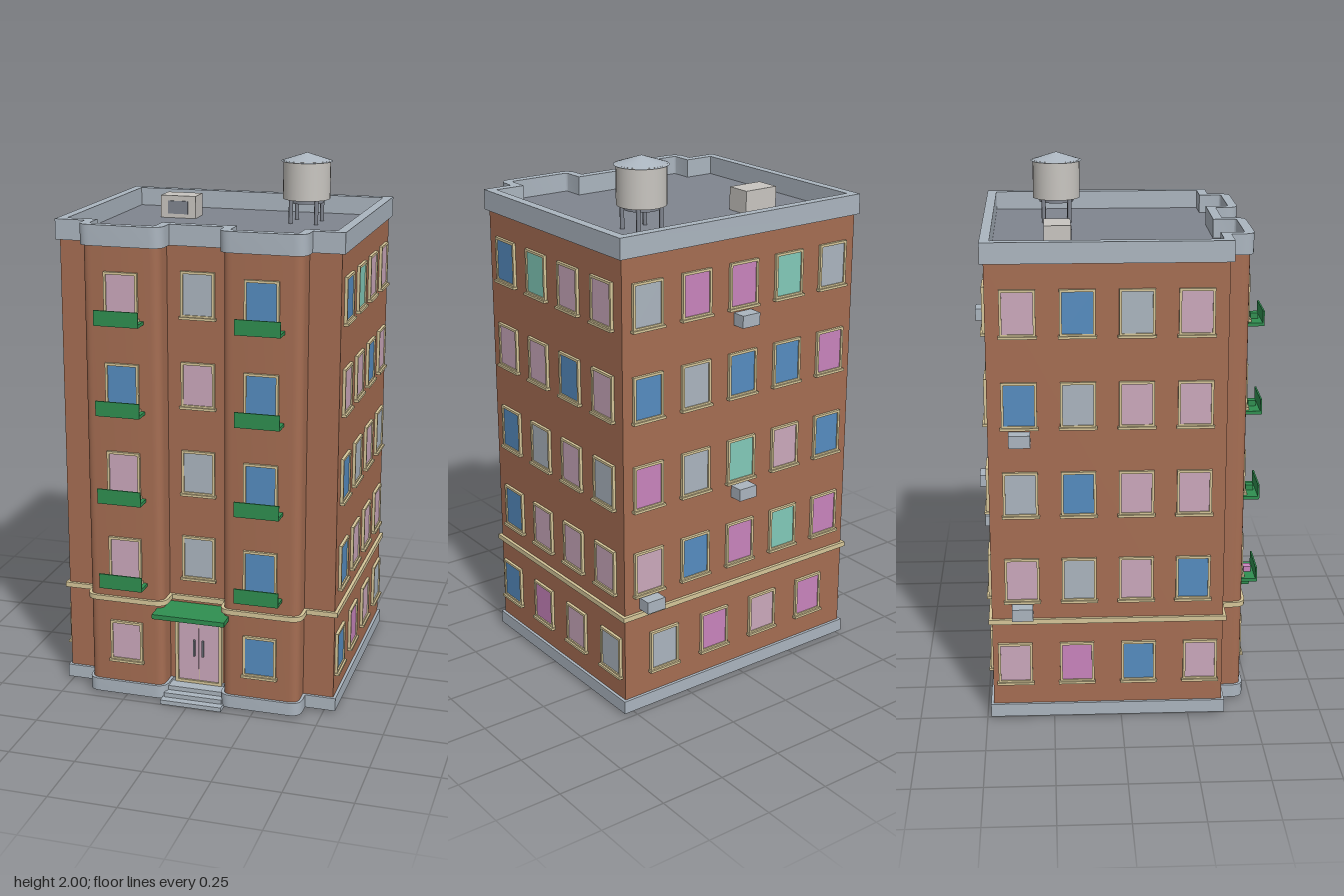
import * as THREE from 'three';
import { toCreasedNormals } from 'three/addons/utils/BufferGeometryUtils.js';

const mat = (name, color) => {
  const m = new THREE.MeshStandardMaterial({ color });
  m.name = name;
  return m;
};
const M = {
  brick: mat('brick', 0xa56d52), stone: mat('stone', 0xabb5bf), deck: mat('roofDeck', 0x80858f),
  cream: mat('cream', 0xd6c699), green: mat('green', 0x2f8f50), pale: mat('paleMetal', 0xc8c5c0),
  pink: mat('pinkGlass', 0xcba8bc), magenta: mat('magentaGlass', 0xc984bd),
  blue: mat('blueGlass', 0x558cc0), teal: mat('tealGlass', 0x82cab9),
};
const GLASS = { p: M.pink, m: M.magenta, b: M.blue, t: M.teal, g: M.stone };
const CX = 0.015; // middle of the building in x

function add(parent, name, geometry, material, x = 0, y = 0, z = 0) {
  const mesh = new THREE.Mesh(geometry, material);
  mesh.name = name;
  mesh.position.set(x, y, z);
  parent.add(mesh);
  return mesh;
}
const box = (parent, name, material, w, h, d, x, y, z) =>
  add(parent, name, new THREE.BoxGeometry(w, h, d), material, x, y, z);

// Floor plan with two round-cornered front bays, grown outward by e
function outline(e, Type = THREE.Shape) {
  const s = new Type();
  const front = 0.375 + e, bay = 0.46 + e, r = 0.035 + e;
  s.moveTo(CX - 0.52 - e, 0.475 + e);
  s.lineTo(CX - 0.52 - e, -front);
  for (const c of [CX - 0.26, CX + 0.26]) {
    const a = c - 0.145 - e, b = c + 0.145 + e;
    s.lineTo(a, -front);
    s.lineTo(a, -bay + r);
    s.quadraticCurveTo(a, -bay, a + r, -bay);
    s.lineTo(b - r, -bay);
    s.quadraticCurveTo(b, -bay, b, -bay + r);
    s.lineTo(b, -front);
  }
  s.lineTo(CX + 0.52 + e, -front);
  s.lineTo(CX + 0.52 + e, 0.475 + e);
  s.closePath();
  return s;
}

// Slab of the floor plan between two heights, optionally hollow
function slab(parent, name, material, e, y0, y1, inner) {
  const s = outline(e);
  if (inner !== undefined) s.holes.push(outline(inner, THREE.Path));
  const g = new THREE.ExtrudeGeometry(s, { depth: y1 - y0, bevelEnabled: false, curveSegments: 6 });
  g.rotateX(-Math.PI / 2);
  return add(parent, name, toCreasedNormals(g, 0.6), material, 0, y0, 0);
}

// Rectangular ring lying in the xy plane
function ring(w, h, t, d) {
  const rect = (Type, a, b) => {
    const p = new Type();
    p.moveTo(-a, -b); p.lineTo(a, -b); p.lineTo(a, b); p.lineTo(-a, b); p.closePath();
    return p;
  };
  const s = rect(THREE.Shape, w / 2, h / 2);
  s.holes.push(rect(THREE.Path, w / 2 - t, h / 2 - t));
  return new THREE.ExtrudeGeometry(s, { depth: d, bevelEnabled: false });
}

// Window facing +z of its group
function makeWindow(parent, x, y, z, turn, h, code) {
  const g = new THREE.Group();
  g.name = 'window';
  g.position.set(x, y, z);
  g.rotation.y = turn;
  add(g, 'windowFrame', ring(0.126, h, 0.009, 0.011), M.cream);
  box(g, 'windowGlass', GLASS[code], 0.11, h - 0.016, 0.008, 0, 0, 0.002);
  box(g, 'windowSill', M.cream, 0.136, 0.009, 0.018, 0, -h / 2 - 0.002, 0.009);
  parent.add(g);
}

const rowY = (row) => (row === 0 ? 0.227 : 0.558 + (row - 1) * 0.3325);
const rowH = (row) => (row === 0 ? 0.158 : 0.167);

export function createModel() {
  const root = new THREE.Group();
  root.name = 'apartmentBuilding';

  // Shell
  slab(root, 'plinth', M.stone, 0.011, 0.01, 0.06);
  slab(root, 'walls', M.brick, 0, 0.06, 1.73);
  slab(root, 'beltCourse', M.cream, 0.012, 0.385, 0.404, -0.01);
  slab(root, 'roofDeck', M.deck, -0.01, 1.722, 1.735);
  slab(root, 'parapet', M.stone, 0.013, 1.73, 1.805, -0.022);

  // Windows: rows run from the ground up
  const faces = {
    right: { rows: ['bmpg', 'bppp', 'bgpg', 'ppbp', 'btpp'],
      place: (u) => [CX + 0.52, -0.05 - u, Math.PI / 2], step: 0.208, ground: 0.228 },
    left: { rows: ['pmbp', 'pgpb', 'gbpp', 'bgpp', 'pbgp'],
      place: (u) => [CX - 0.52, -0.05 + u, -Math.PI / 2], step: 0.208, ground: 0.228 },
    back: { rows: ['gmpm', 'pbmtm', 'mgtpb', 'bgbbm', 'gmmtg'],
      place: (u) => [CX - u, -0.475, Math.PI], step: 0.208, ground: 0.232 },
  };
  for (const { rows, place, step, ground } of Object.values(faces)) {
    rows.forEach((codes, row) => [...codes].forEach((code, i) => {
      const u = (i - (codes.length - 1) / 2) * (row === 0 ? ground : step);
      const [x, z, turn] = place(u);
      makeWindow(root, x, rowY(row), z, turn, rowH(row), code);
    }));
  }
  ['p b', 'pgb', 'pgb', 'bpb', 'pgb'].forEach((codes, row) => [...codes].forEach((code, i) => {
    if (code === ' ') return;
    makeWindow(root, CX + (i - 1) * 0.259, rowY(row), i === 1 ? 0.375 : 0.46, 0, rowH(row), code);
  }));

  // Balconies with a small planter on each bay
  for (let row = 1; row < 5; row++) {
    for (const side of [-1, 1]) {
      const g = new THREE.Group();
      g.name = 'balcony';
      g.position.set(CX + side * 0.259, rowY(row) - 0.1, 0.46);
      box(g, 'balconyFloor', M.green, 0.166, 0.012, 0.063, 0, 0.004, 0.031);
      box(g, 'balconyFront', M.green, 0.166, 0.056, 0.006, 0, 0.026, 0.06);
      box(g, 'planter', row === 1 ? M.magenta : M.green, 0.032, 0.022, 0.028, 0, 0.02, 0.034);
      root.add(g);
    }
  }

  // Entrance
  const entrance = new THREE.Group();
  entrance.name = 'entrance';
  add(entrance, 'doorFrame', ring(0.184, 0.29, 0.012, 0.016), M.cream, CX, 0.195, 0.375);
  for (const side of [-1, 1]) {
    box(entrance, 'doorLeaf', M.pink, 0.078, 0.268, 0.009, CX + side * 0.04, 0.194, 0.379);
    box(entrance, 'doorHandle', M.deck, 0.006, 0.065, 0.012, CX + side * 0.017, 0.195, 0.388);
  }
  box(entrance, 'doorGap', M.cream, 0.003, 0.268, 0.006, CX, 0.194, 0.378);
  for (let i = 0; i < 3; i++) {
    const d = 0.122 - i * 0.03;
    box(entrance, 'step', M.stone, 0.238 - i * 0.012, 0.017, d, CX, 0.0085 + i * 0.017, 0.375 + d / 2);
  }
  box(entrance, 'canopy', M.green, 0.278, 0.018, 0.147, CX, 0.364, 0.4475);
  root.add(entrance);

  // Air conditioners under some windows
  for (const [x, y] of [[CX, 1.432], [CX, 0.768], [CX + 0.416, 0.437]])
    box(root, 'airConditioner', M.stone, 0.077, 0.046, 0.06, x, y, -0.497);
  for (const y of [1.102, 0.437])
    box(root, 'airConditioner', M.stone, 0.06, 0.046, 0.077, -0.525, y, -0.362);

  // Roof vent
  box(root, 'roofVent', M.pale, 0.14, 0.09, 0.096, -0.235, 1.776, -0.218);
  box(root, 'roofVentGrille', M.deck, 0.08, 0.05, 0.006, -0.235, 1.776, -0.169);

  // Water tank
  const tank = new THREE.Group();
  tank.name = 'waterTank';
  tank.position.set(0.265, 0, -0.215);
  add(tank, 'tankBody', new THREE.CylinderGeometry(0.09, 0.09, 0.145, 32), M.pale, 0, 1.8985, 0);
  add(tank, 'tankRoof', new THREE.ConeGeometry(0.098, 0.032, 32), M.stone, 0, 1.984, 0);
  add(tank, 'tankBase', new THREE.CylinderGeometry(0.066, 0.066, 0.016, 24), M.deck, 0, 1.819, 0);
  for (let i = 0; i < 4; i++) {
    const a = Math.PI / 4 + i * Math.PI / 2;
    add(tank, 'tankLeg', new THREE.CylinderGeometry(0.008, 0.008, 0.1, 8), M.deck,
      0.07 * Math.cos(a), 1.78, 0.07 * Math.sin(a));
  }
  root.add(tank);

  return root;
}
